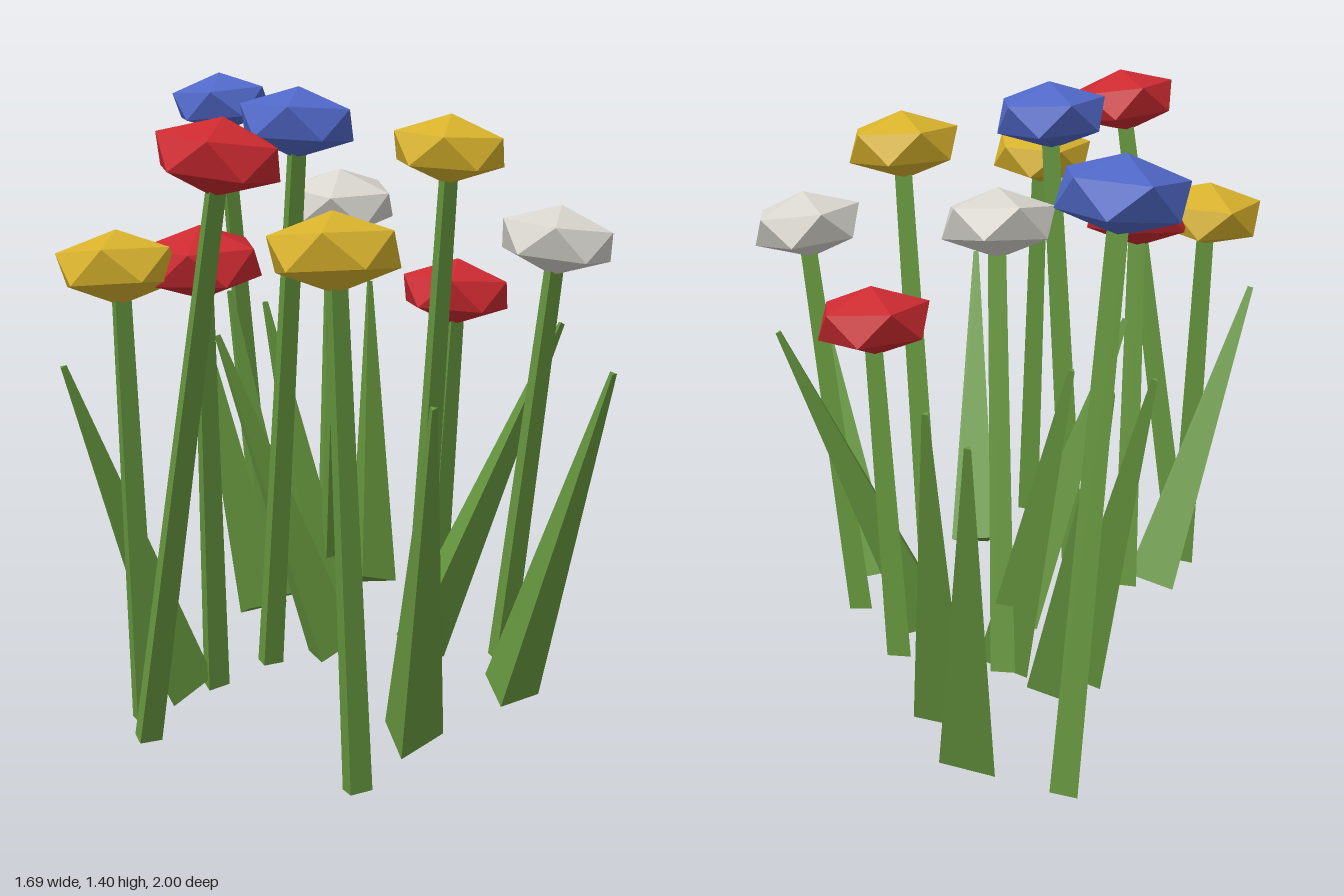
import * as THREE from 'three';

const mat = (name, color) => {
  const m = new THREE.MeshStandardMaterial({ color, flatShading: true });
  m.name = name;
  return m;
};
const UP = new THREE.Vector3(0, 1, 0);
const BASE_Y = 0.03;

// Three-sided tapered blade between two points, flat side to the front
function blade(name, from, to, rBase, rTip, material) {
  const dir = to.clone().sub(from);
  const len = dir.length();
  const geo = new THREE.CylinderGeometry(rTip, rBase, len, 3, 1, false, Math.PI);
  geo.translate(0, len / 2, 0);
  const mesh = new THREE.Mesh(geo, material);
  mesh.name = name;
  mesh.position.copy(from);
  mesh.quaternion.setFromUnitVectors(UP, dir.normalize());
  return mesh;
}

export function createModel() {
  const model = new THREE.Group();
  model.name = 'flowerPatch';
  const green = mat('leaf green', 0x66963e);
  const blue = mat('petal blue', 0x5068c8);
  const red = mat('petal red', 0xcc2a30);
  const gold = mat('petal yellow', 0xd8b22c);
  const white = mat('petal white', 0xd8d5ce);

  // Squashed icosahedron standing on a corner
  const headGeo = new THREE.IcosahedronGeometry(0.152, 0);
  headGeo.rotateZ(-Math.atan(2 / (1 + Math.sqrt(5))));
  headGeo.scale(1, 0.55, 1);

  // Flowers: colour, head centre x y z, stem foot x z
  const flowers = [
    [blue, 0.525, 1.30, -0.87, 0.61, -0.80],
    [blue, -0.15, 1.317, 0.135, -0.23, 0.12],
    [red, -0.705, 1.285, 0.475, -0.82, 0.36],
    [red, -0.505, 1.025, 0.195, -0.45, 0.17],
    [red, 0.4, 0.87, 0.14, 0.345, 0.12],
    [gold, -0.675, 1.11, 0.785, -0.735, 0.91],
    [gold, -0.675, 1.02, 0.11, -0.725, 0.24],
    [gold, 0.157, 1.25, 0.335, 0.12, 0.27],
    [white, 0.155, 1.10, -0.03, 0.23, -0.14],
    [white, 0.3, 1.04, 0.55, 0.2, 0.475],
  ];
  for (const [material, x, y, z, fx, fz] of flowers) {
    const flower = new THREE.Group();
    flower.name = 'flower';
    const top = new THREE.Vector3(x, y, z);
    const stem = blade('stem', new THREE.Vector3(fx, BASE_Y, fz), top, 0.036, 0.026, green);
    const head = new THREE.Mesh(headGeo, material);
    head.name = 'flowerHead';
    head.position.copy(top);
    head.quaternion.copy(stem.quaternion);
    flower.add(stem, head);
    model.add(flower);
  }

  // Leaves: foot x z, tip x z
  const leaves = [
    [-0.405, 0.75, -0.6, 0.99],
    [0.003, 0.675, -0.015, 0.975],
    [0.64, -0.525, 0.835, -0.76],
    [0.51, -0.265, 0.725, -0.48],
    [0.21, -0.31, 0.3, -0.595],
    [0.095, -0.26, 0.14, -0.56],
    [0.18, -0.09, 0.22, -0.37],
    [-0.055, 0.15, -0.265, -0.02],
    [0.13, 0.27, 0.485, 0.415],
    [-0.52, 0.14, -0.81, 0.08],
  ];
  for (const [fx, fz, tx, tz] of leaves) {
    model.add(blade('leaf', new THREE.Vector3(fx, BASE_Y, fz),
      new THREE.Vector3(tx, 0.81, tz), 0.075, 0.009, green));
  }
  return model;
}
